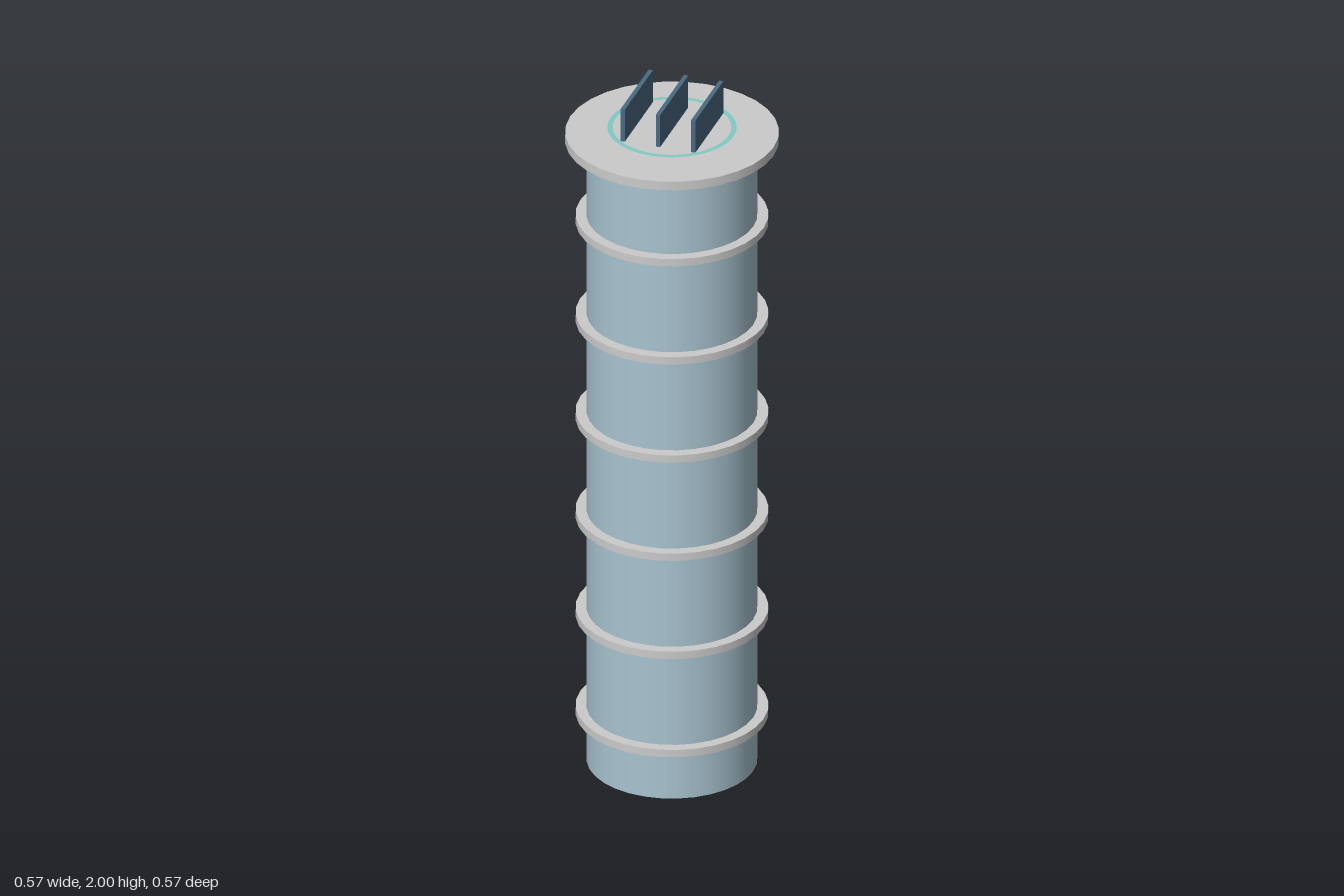
import * as THREE from 'three';

const SEGMENTS = 32;
const material = (color, side = THREE.FrontSide) => new THREE.MeshStandardMaterial({ color, side });

export function createModel() {
  const group = new THREE.Group();
  const grey = material(0xcccccc);
  const shell = material(0xa9c4d0);
  const bladeBlue = material(0x4a6a82);
  const teal = material(0x80cbc4, THREE.DoubleSide);

  function add(name, geometry, mat, x, y, z = 0) {
    const mesh = new THREE.Mesh(geometry, mat);
    mesh.name = name;
    mesh.position.set(x, y, z);
    group.add(mesh);
    return mesh;
  }
  const disc = (radius, height) => new THREE.CylinderGeometry(radius, radius, height, SEGMENTS);

  // Tall closed vessel
  add('body', disc(0.228, 1.876), shell, 0, 0.938);

  // Evenly spaced stiffening rings
  for (let i = 0; i < 6; i++) {
    add(`stiffeningRing${i + 1}`, disc(0.257, 0.022), grey, 0, 0.151 + i * 0.296);
  }

  // Wide top flange
  add('topFlange', disc(0.285, 0.026), grey, 0, 1.877);

  // Thin flat ring hovering just above the flange
  const ring = add('sealRing', new THREE.RingGeometry(0.158, 0.172, 64), teal, 0, 1.904);
  ring.rotation.x = -Math.PI / 2;

  // Three upright parallel blades
  [-0.099, 0, 0.099].forEach((x, i) => {
    add(`blade${i + 1}`, new THREE.BoxGeometry(0.012, 0.096, 0.238), bladeBlue, x, 1.952);
  });

  return group;
}
